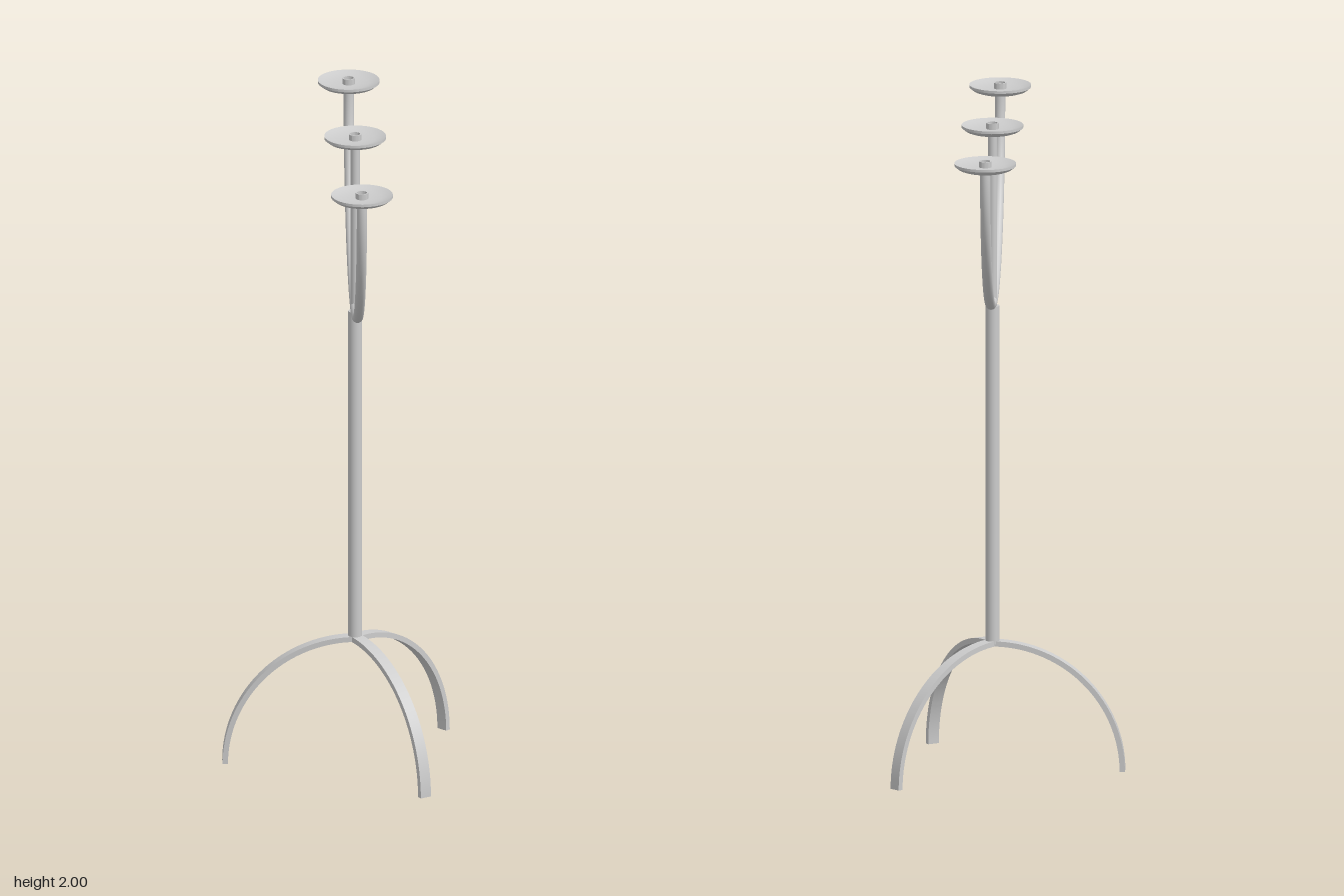
import * as THREE from 'three';
import { toCreasedNormals } from 'three/addons/utils/BufferGeometryUtils.js';

const X = 0.05, Z = -0.013; // pole axis

export function createModel() {
  const model = new THREE.Group();
  model.name = 'candelabra';
  const mat = new THREE.MeshStandardMaterial({ color: 0xcccccc });
  const add = (name, geo, x, y, z) => {
    const mesh = new THREE.Mesh(geo, mat);
    mesh.name = name;
    mesh.position.set(x, y, z);
    model.add(mesh);
    return mesh;
  };

  // Three flat-bar legs, each a quarter arc
  const bar = new THREE.Shape();
  bar.absarc(0, 0, 0.4, 0, Math.PI / 2, false);
  bar.absarc(0, 0, 0.384, Math.PI / 2, 0, true);
  const legGeo = toCreasedNormals(
    new THREE.ExtrudeGeometry(bar, { depth: 0.036, bevelEnabled: false, curveSegments: 32 })
      .translate(0, 0, -0.018), 0.6);
  [180, 45, -60].forEach((deg, i) => {
    add('leg' + (i + 1), legGeo, X, 0, Z).rotation.y = THREE.MathUtils.degToRad(deg);
  });

  // Pole and the thinner stem above it
  add('pole', new THREE.CylinderGeometry(0.021, 0.021, 1.045, 32), X, 0.9125, Z);
  add('stem', new THREE.CylinderGeometry(0.014, 0.014, 0.55, 24), X, 1.7, Z);

  // Half-circle pair of arms
  const armGeo = new THREE.TorusGeometry(0.523, 0.0155, 16, 72, Math.PI)
    .rotateZ(Math.PI).rotateY(Math.PI / 2);
  add('arms', armGeo, X, 1.971, 0);

  // Shallow dishes with a small candle socket
  const lathe = (pts) => toCreasedNormals(
    new THREE.LatheGeometry(pts.map(([r, y]) => new THREE.Vector2(r, y)), 48), 0.5);
  const dishGeo = lathe([[0, 0], [0.066, 0], [0.08, 0.005], [0.093, 0.015],
    [0.093, 0.023], [0.08, 0.018], [0.06, 0.013], [0.03, 0.011], [0, 0.011]]);
  const socketGeo = lathe([[0.019, 0.008], [0.019, 0.029], [0.015, 0.029], [0.015, 0.012], [0, 0.012]]);
  [-0.523, Z, 0.523].forEach((z, i) => {
    add('dish' + (i + 1), dishGeo, X, 1.971, z);
    add('socket' + (i + 1), socketGeo, X, 1.971, z);
  });
  return model;
}
